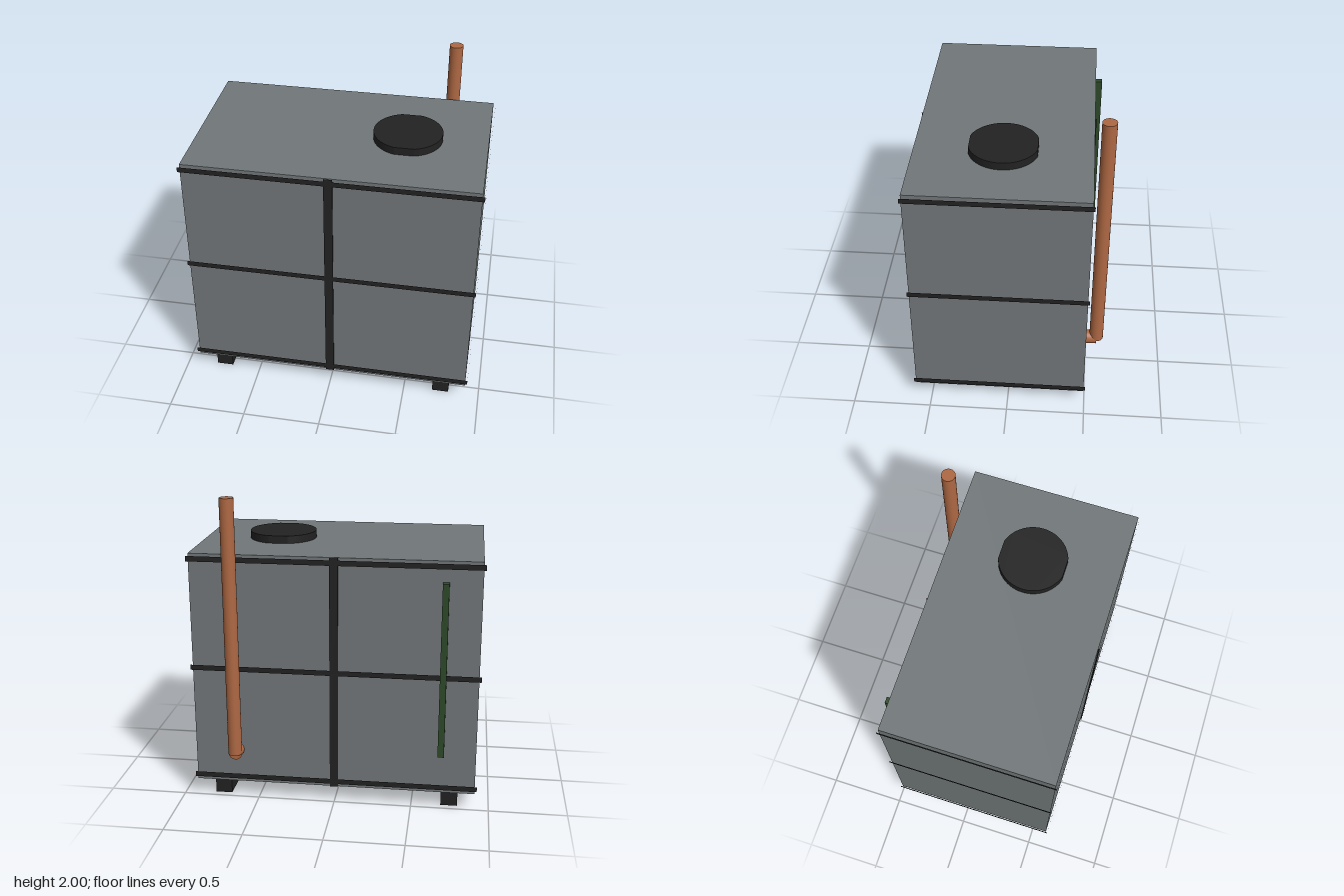
import * as THREE from 'three';

export function createModel() {
  const model = new THREE.Group();
  const mat = (name, color) => new THREE.MeshStandardMaterial({ name, color });
  const steel = mat('grey steel', 0x717779);
  const black = mat('black', 0x222222);
  const copper = mat('copper', 0xae6843);
  const green = mat('dark green', 0x2e4a29);
  const midZ = 0.053;

  const add = (name, geometry, material, x, y, z) => {
    const mesh = new THREE.Mesh(geometry, material);
    mesh.name = name;
    mesh.position.set(x, y, z);
    model.add(mesh);
    return mesh;
  };
  const box = (name, material, w, h, d, x, y, z) =>
    add(name, new THREE.BoxGeometry(w, h, d), material, x, y, z);

  // Tank body
  box('tankBody', steel, 1.815, 1.527, 1.092, 0, 0.8735, midZ);

  // Wrap-around bands: open sleeves, without top and bottom faces
  const sleeve = (name, w, h, d, y) => {
    const g = new THREE.BoxGeometry(w, h, d);
    const index = Array.from(g.index.array);
    g.setIndex([...index.slice(0, 12), ...index.slice(24)]);
    g.clearGroups();
    add(name, g, black, 0, y, midZ);
  };
  for (const y of [0.147, 0.894, 1.604]) sleeve('horizontalBand', 1.842, 0.034, 1.112, y);
  sleeve('verticalStrap', 0.054, 1.527, 1.108, 0.8735);

  // Skid feet
  for (const side of [-1, 1]) box('skidFoot', black, 0.108, 0.11, 1.02, side * 0.745, 0.055, midZ + 0.002);

  // Hatch lid: a disc with its front and back trimmed flat
  const r = 0.217, a = Math.asin(0.208 / r);
  const outline = new THREE.Shape();
  outline.absarc(0, 0, r, -a, a, false);
  outline.absarc(0, 0, r, Math.PI - a, Math.PI + a, false);
  outline.closePath();
  const lid = new THREE.ExtrudeGeometry(outline, { depth: 0.05, bevelEnabled: false, curveSegments: 20 });
  lid.rotateX(-Math.PI / 2);
  add('hatchLid', lid, black, 0.406, 1.636, midZ);

  // Vent pipe with its short connection into the back wall
  const pipe = (name, length, x, y, z) =>
    add(name, new THREE.CylinderGeometry(0.044, 0.044, length, 32), copper, x, y, z);
  pipe('ventPipe', 1.661, 0.634, 1.1695, -0.563);
  pipe('pipeConnection', 0.083, 0.634, 0.338, -0.5215).rotation.x = Math.PI / 2;

  // Level gauge on the back
  box('levelGauge', green, 0.04, 1.13, 0.048, -0.685, 0.94, -0.516);

  return model;
}
